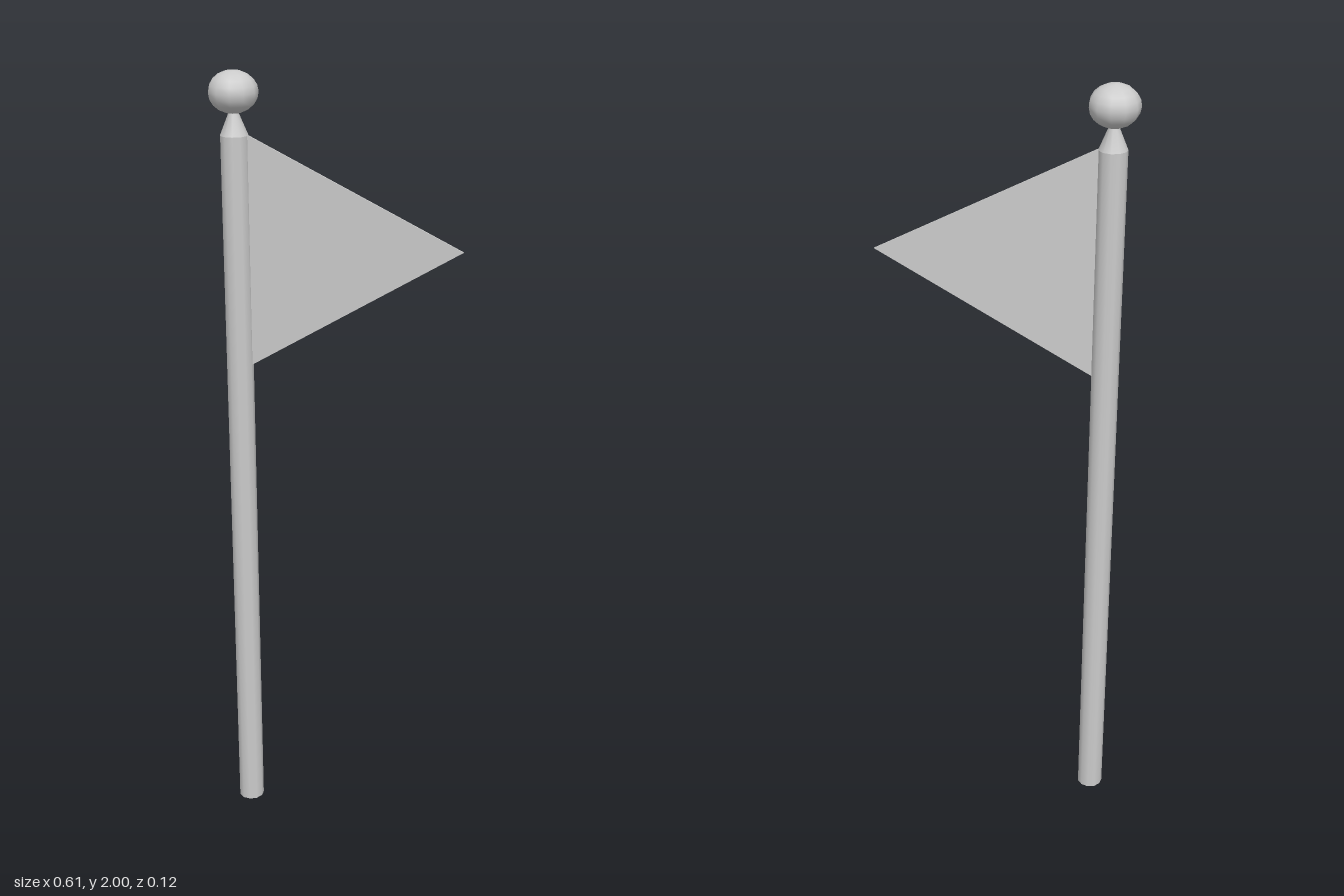
import * as THREE from 'three';

const SIDES = 11;
const POLE_X = -0.247;

export function createModel() {
  const group = new THREE.Group();
  const material = new THREE.MeshStandardMaterial({ color: 0xcccccc });

  // Revolves a list of [radius, y] points around the pole axis
  function turned(name, points) {
    const profile = points.map(([r, y]) => new THREE.Vector2(r, y));
    const mesh = new THREE.Mesh(new THREE.LatheGeometry(profile, SIDES, -Math.PI / 2), material);
    mesh.name = name;
    mesh.position.x = POLE_X;
    group.add(mesh);
  }

  // Pole with a closed foot and a neck tapering towards the finial
  turned('pole', [[0, 0], [0.034, 0], [0.034, 0], [0.034, 1.85], [0.034, 1.85], [0.013, 1.9], [0.013, 1.915]]);

  // Slightly flattened ball on top
  const ball = [];
  const rings = 10;
  for (let i = 0; i <= rings; i++) {
    const a = -Math.PI / 2 + (Math.PI * i) / rings;
    ball.push([Math.max(0, 0.06 * Math.cos(a)), 1.95 + 0.05 * Math.sin(a)]);
  }
  turned('finialBall', ball);

  // Thin triangular pennant, its hoist edge set just inside the pole
  const depth = 0.004;
  const outline = new THREE.Shape([
    new THREE.Vector2(-0.217, 1.283),
    new THREE.Vector2(0.306, 1.6),
    new THREE.Vector2(-0.217, 1.853),
  ]);
  const flag = new THREE.Mesh(
    new THREE.ExtrudeGeometry(outline, { depth, bevelEnabled: false }),
    material
  );
  flag.name = 'flag';
  flag.position.z = -depth / 2;
  group.add(flag);

  return group;
}
